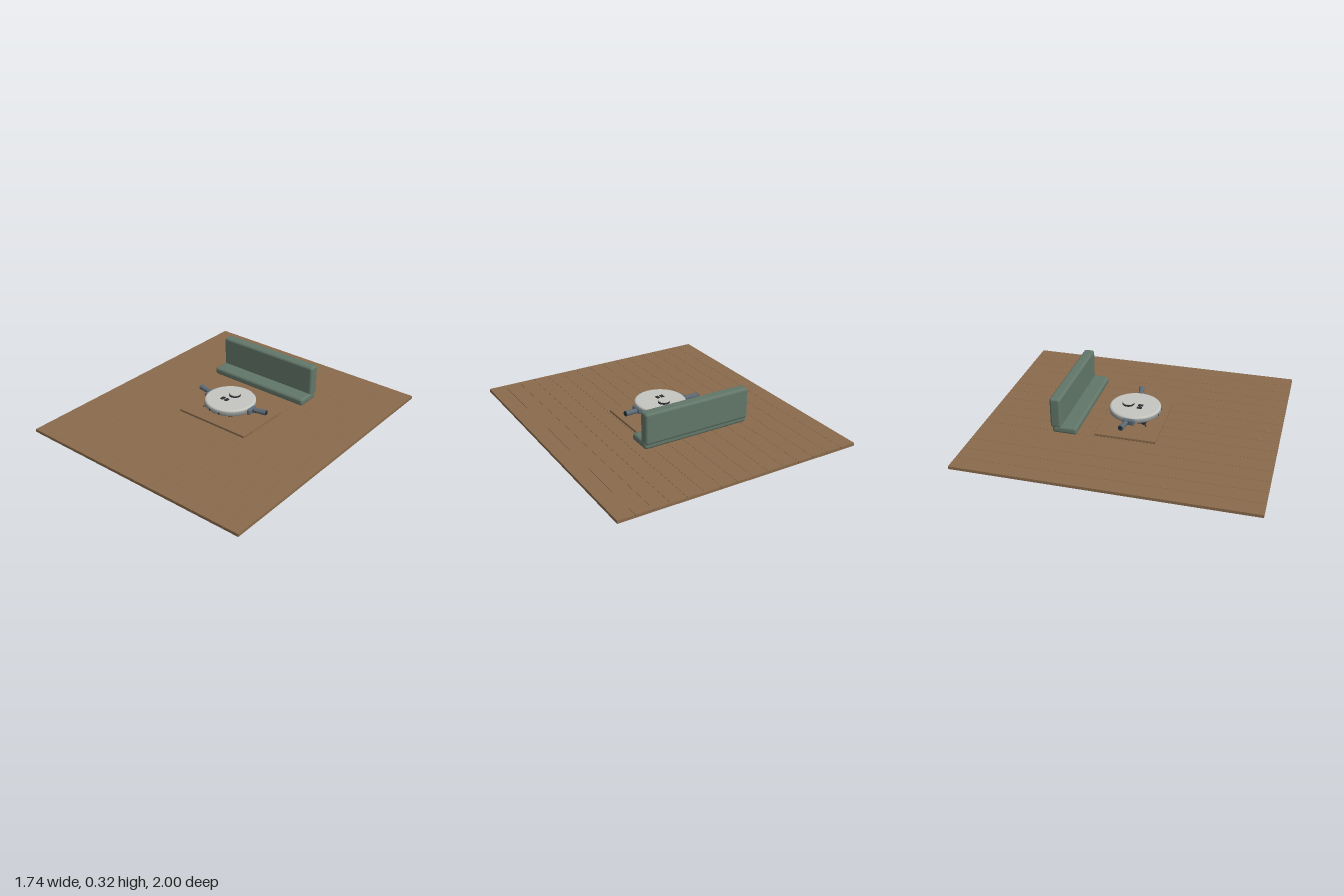
import * as THREE from 'three';
import { RoundedBoxGeometry } from 'three/addons/geometries/RoundedBoxGeometry.js';

const mat = (name, color) => {
  const m = new THREE.MeshStandardMaterial({ color });
  m.name = name;
  return m;
};

export function createModel() {
  const wood = mat('wood', 0x8a6b4c);
  const fabric = mat('green fabric', 0x627669);
  const shell = mat('light shell', 0xc4c4c0);
  const trim = mat('grey trim', 0x8d9290);
  const slate = mat('slate arm', 0x5c6a76);
  const dark = mat('dark rubber', 0x2b2f32);
  const brass = mat('brass', 0x9a7a3c);

  const model = new THREE.Group();
  model.name = 'roomScene';
  const add = (parent, name, geo, m, x = 0, y = 0, z = 0) => {
    const mesh = new THREE.Mesh(geo, m);
    mesh.name = name;
    mesh.position.set(x, y, z);
    parent.add(mesh);
    return mesh;
  };
  const group = (name, parent = model) => {
    const g = new THREE.Group();
    g.name = name;
    parent.add(g);
    return g;
  };
  const cyl = (r1, r2, h, n = 32) => new THREE.CylinderGeometry(r1, r2, h, n);
  const lathe = (pts) => new THREE.LatheGeometry(pts.map(([r, y]) => new THREE.Vector2(r, y)), 64);

  // Plank floor
  const floor = group('floor');
  const pitch = 0.1163;
  for (let i = -7; i <= 7; i++) {
    add(floor, 'plank', new THREE.BoxGeometry(pitch - 0.0015, 0.02, 2), wood, i * pitch, 0.01, 0);
  }
  // Thin board under the robot
  add(model, 'board', new RoundedBoxGeometry(0.565, 0.017, 0.42, 2, 0.003), wood, 0, 0.0285, 0);

  // Sofa: seat and backrest
  const sofa = group('sofa');
  add(sofa, 'seat', new RoundedBoxGeometry(0.775, 0.052, 0.168, 4, 0.018), fabric, 0, 0.094, -0.386);
  add(sofa, 'backrest', new RoundedBoxGeometry(0.775, 0.218, 0.075, 4, 0.018), fabric, 0, 0.213, -0.446);

  // Round robot body
  const robot = group('robot');
  add(robot, 'lowerBody', lathe([[0, 0.078], [0.15, 0.078], [0.162, 0.083], [0.17, 0.092], [0.17, 0.1]]), dark);
  add(robot, 'bumper', lathe([[0.165, 0.088], [0.173, 0.09], [0.178, 0.096], [0.178, 0.112], [0.174, 0.116]]), trim);
  add(robot, 'topShell', lathe([[0.174, 0.114], [0.177, 0.118], [0.177, 0.126], [0.173, 0.131], [0.166, 0.134]]), shell);
  add(robot, 'topPlate', cyl(0.166, 0.166, 0.004, 64), shell, 0, 0.132, 0);

  // Sensor turret
  add(robot, 'turretSide', cyl(0.04, 0.041, 0.014), dark, 0, 0.14, -0.05);
  add(robot, 'turretCap', cyl(0.039, 0.041, 0.006), shell, 0, 0.15, -0.05);

  // Buttons and front sensor windows
  for (const x of [-0.036, -0.002]) {
    add(robot, 'button', new THREE.BoxGeometry(0.024, 0.004, 0.034), dark, x, 0.1355, 0.037);
  }
  for (const x of [-0.04, 0.04]) {
    add(robot, 'sensor', new THREE.BoxGeometry(0.012, 0.01, 0.006), dark, x, 0.104, 0.173);
  }

  // Wheels, rollers and castor beneath the body
  for (const s of [-1, 1]) {
    const wheel = add(robot, 'wheel', cyl(0.033, 0.033, 0.028), dark, s * 0.105, 0.08, -0.035);
    wheel.rotation.z = Math.PI / 2;
    const hub = add(robot, 'wheelHub', cyl(0.014, 0.014, 0.032, 16), trim, s * 0.105, 0.078, -0.035);
    hub.rotation.z = Math.PI / 2;
  }
  const roller = add(robot, 'brushRoller', cyl(0.017, 0.017, 0.19, 16), dark, 0, 0.071, 0.055);
  roller.rotation.z = Math.PI / 2;
  for (const s of [-1, 1]) {
    const cap = add(robot, 'rollerCap', cyl(0.015, 0.015, 0.006, 16), brass, s * 0.098, 0.071, 0.055);
    cap.rotation.z = Math.PI / 2;
  }
  add(robot, 'castor', new THREE.SphereGeometry(0.02, 20, 12), dark, 0, 0.071, -0.11);
  add(robot, 'dustBin', new RoundedBoxGeometry(0.13, 0.02, 0.06, 2, 0.004), dark, 0, 0.072, -0.11);

  // Side brush at the front right
  const brush = group('sideBrush', robot);
  brush.position.set(-0.118, 0.07, 0.09);
  add(brush, 'brushHub', cyl(0.014, 0.014, 0.014, 16), dark);
  for (let i = 0; i < 3; i++) {
    const a = (i * Math.PI * 2) / 3 + 3.75;
    const bristle = add(brush, 'bristle', new THREE.BoxGeometry(0.042, 0.004, 0.007), dark,
      Math.cos(a) * 0.021, -0.004, -Math.sin(a) * 0.021);
    bristle.rotation.y = a;
  }

  // Mirrored short arms, swept slightly backward
  const up = new THREE.Vector3(0, 1, 0);
  for (const s of [-1, 1]) {
    const arm = group(s > 0 ? 'leftArm' : 'rightArm', robot);
    const segment = (name, a, b, r1, r2, m) => {
      const p = new THREE.Vector3(s * a[0], a[1], a[2]);
      const q = new THREE.Vector3(s * b[0], b[1], b[2]);
      const d = q.clone().sub(p);
      const mid = p.clone().add(q).multiplyScalar(0.5);
      const mesh = add(arm, name, cyl(r2, r1, d.length(), 20), m, mid.x, mid.y, mid.z);
      mesh.quaternion.setFromUnitVectors(up, d.normalize());
    };
    const mount = add(arm, 'armMount', new RoundedBoxGeometry(0.026, 0.04, 0.085, 3, 0.009), slate, s * 0.183, 0.103, 0);
    mount.rotation.y = s * 0.08;
    segment('armLink', [0.18, 0.1, -0.008], [0.215, 0.104, -0.016], 0.016, 0.016, dark);
    add(arm, 'armJoint', new THREE.SphereGeometry(0.018, 20, 14), slate, s * 0.205, 0.103, -0.015);
    segment('forearm', [0.205, 0.104, -0.015], [0.287, 0.11, -0.028], 0.016, 0.02, slate);
    segment('armTip', [0.285, 0.11, -0.0278], [0.291, 0.1104, -0.0286], 0.017, 0.015, dark);
  }
  return model;
}
